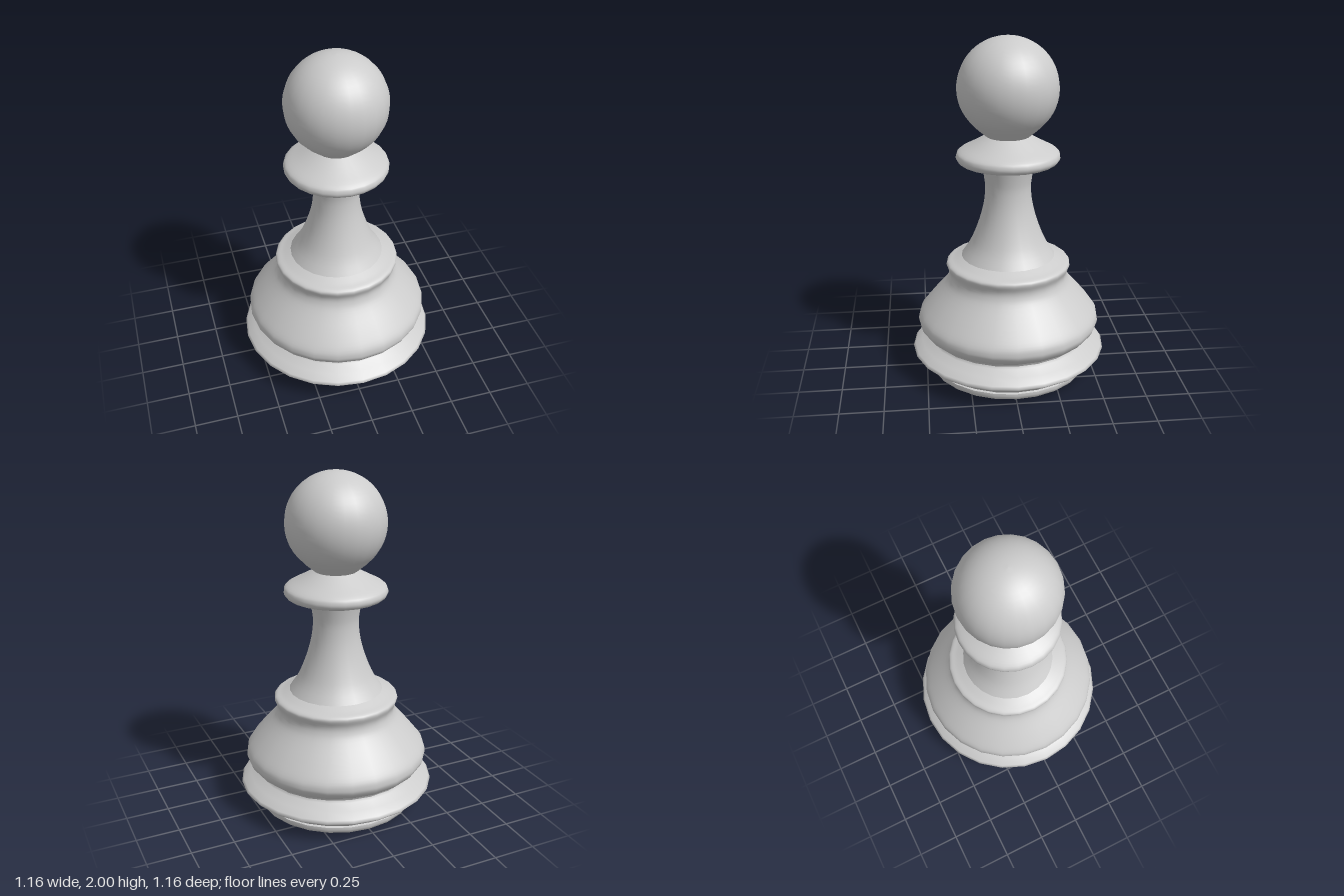
import * as THREE from 'three';

const SIDES = 24;

export function createModel() {
  const group = new THREE.Group();
  const material = new THREE.MeshStandardMaterial({ color: 0xcccccc });

  // Turned part: [radius, height] pairs from bottom to top, optionally smoothed
  function turned(name, pairs, samples = 0) {
    let points = pairs.map(([r, y]) => new THREE.Vector2(r, y));
    if (samples) points = new THREE.SplineCurve(points).getPoints(samples);
    const mesh = new THREE.Mesh(new THREE.LatheGeometry(points, SIDES), material);
    mesh.name = name;
    group.add(mesh);
  }

  // Foot
  turned('underside', [[0, 0], [0.455, 0]]);
  turned('foot', [[0.455, 0], [0.47, 0.012], [0.476, 0.03], [0.475, 0.045]]);
  turned('footStep', [[0.475, 0.045], [0.462, 0.049]]);

  // Sharp-edged ring around the base, up into the groove
  turned('baseRing', [
    [0.462, 0.049], [0.51, 0.084], [0.565, 0.122], [0.578, 0.136],
    [0.567, 0.15], [0.525, 0.18], [0.475, 0.208], [0.468, 0.222],
  ]);
  turned('groove', [[0.468, 0.222], [0.474, 0.236]]);

  // Bulging body with the shoulder rim on top
  turned('body', [
    [0.474, 0.236], [0.51, 0.26], [0.535, 0.295], [0.54, 0.325], [0.527, 0.365],
    [0.47, 0.437], [0.385, 0.535], [0.357, 0.582], [0.352, 0.62], [0.366, 0.662],
    [0.357, 0.682], [0.32, 0.697], [0.275, 0.718],
  ], 44);

  // Concave stem
  turned('stem', [
    [0.275, 0.718], [0.222, 0.8], [0.175, 0.915], [0.144, 1.03],
    [0.133, 1.13], [0.139, 1.2], [0.152, 1.27],
  ], 20);

  // Collar below the head
  turned('collar', [
    [0.152, 1.27], [0.22, 1.278], [0.275, 1.288], [0.296, 1.308], [0.297, 1.332],
    [0.28, 1.355], [0.21, 1.393], [0.125, 1.44],
  ], 24);

  // Ball head, drawn in slightly to a flat seat
  const head = [[0.125, 1.44], [0.178, 1.484]];
  for (let i = 0; i <= 20; i++) {
    const a = THREE.MathUtils.lerp(-0.7, Math.PI / 2, i / 20);
    head.push([Math.max(0, 0.288 * Math.cos(a)), 1.712 + 0.288 * Math.sin(a)]);
  }
  turned('head', head);

  return group;
}
